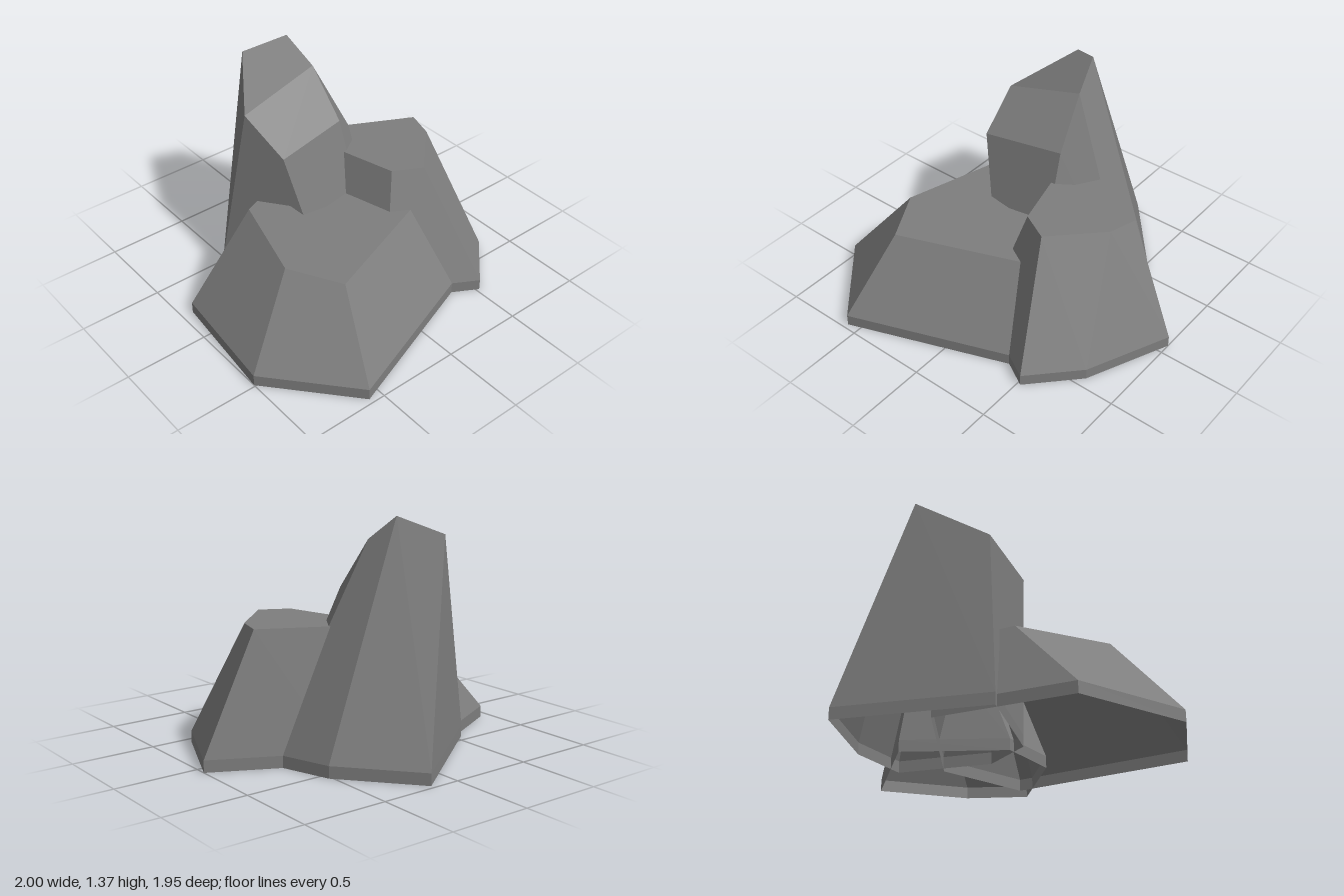
import * as THREE from 'three';

const RIM = 0.07; // height of the vertical foot around each rock

// Open-bottomed rock: base is a ring of [x, z], top a ring of [x, y, z],
// both running left, front, right, back. Each cap lists top corners as a polygon.
// Every facet is shaded with one normal, even where its corners are not quite level.
function makeRock(name, base, top, caps, material) {
  const lower = base.map(([x, z]) => new THREE.Vector3(x, 0, z));
  const rim = base.map(([x, z]) => new THREE.Vector3(x, RIM, z));
  const upper = top.map((p) => new THREE.Vector3(...p));
  const positions = [];
  const normals = [];

  // Fan from the first corner
  const addFacet = (corners) => {
    const normal = new THREE.Vector3();
    const first = corners[0];
    for (let i = 1; i < corners.length - 1; i++) {
      const u = corners[i].clone().sub(first);
      const v = corners[i + 1].clone().sub(first);
      normal.add(u.cross(v));
    }
    normal.normalize();
    for (let i = 1; i < corners.length - 1; i++) {
      for (const p of [first, corners[i], corners[i + 1]]) {
        positions.push(...p.toArray());
        normals.push(...normal.toArray());
      }
    }
  };

  // foot and sloping walls
  for (const [low, high] of [[lower, rim], [rim, upper]]) {
    low.forEach((corner, i) => {
      const j = (i + 1) % low.length;
      addFacet([high[i], corner, low[j], high[j]]);
    });
  }
  // top
  caps.forEach((cap) => addFacet(cap.map((i) => upper[i])));

  const geometry = new THREE.BufferGeometry();
  geometry.setAttribute('position', new THREE.Float32BufferAttribute(positions, 3));
  geometry.setAttribute('normal', new THREE.Float32BufferAttribute(normals, 3));
  const mesh = new THREE.Mesh(geometry, material);
  mesh.name = name;
  return mesh;
}

// Level top ring at one height
const level = (y, points) => points.map(([x, z]) => [x, y, z]);

export function createModel() {
  const stone = new THREE.MeshStandardMaterial({ color: 0x7e7e7e, side: THREE.DoubleSide });
  stone.name = 'stone grey';

  const group = new THREE.Group();
  group.name = 'rockCluster';
  const flatCap = [[0, 1, 2, 3, 4, 5]];

  // broad low rock at the front
  group.add(makeRock('lowRock',
    [[-0.93, -0.22], [-1, 0.49], [-0.58, 0.97], [0.45, 0.59], [0.45, 0], [-0.2, -0.58]],
    level(0.53, [[-0.48, -0.24], [-0.64, 0.32], [-0.47, 0.63], [0.33, 0.33], [0.3, 0], [-0.12, -0.39]]),
    flatCap, stone));

  // middle rock on the model's left
  group.add(makeRock('middleRock',
    [[-0.08, 0.06], [0.02, 0.42], [0.52, 0.705], [0.78, 0.435], [1, -0.07], [0.34, -0.405]],
    level(0.76, [[0.11, -0.1], [0.2, 0.24], [0.37, 0.33], [0.64, 0.06], [0.69, -0.11], [0.27, -0.325]]),
    flatCap, stone));

  // tall slanted spire at the back, its top folded into two facets
  group.add(makeRock('tallRock',
    [[-0.555, -0.44], [-0.17, 0.08], [0.17, 0.13], [0.64, -0.19], [0.52, -0.555], [0.165, -0.975]],
    [[-0.4, 1.09, -0.35], [-0.35, 0.92, -0.06], [0.13, 0.94, -0.15],
      [0.1, 1.23, -0.36], [0.055, 1.37, -0.545], [-0.16, 1.27, -0.695]],
    [[3, 0, 1, 2], [0, 3, 4, 5]], stone));

  return group;
}
